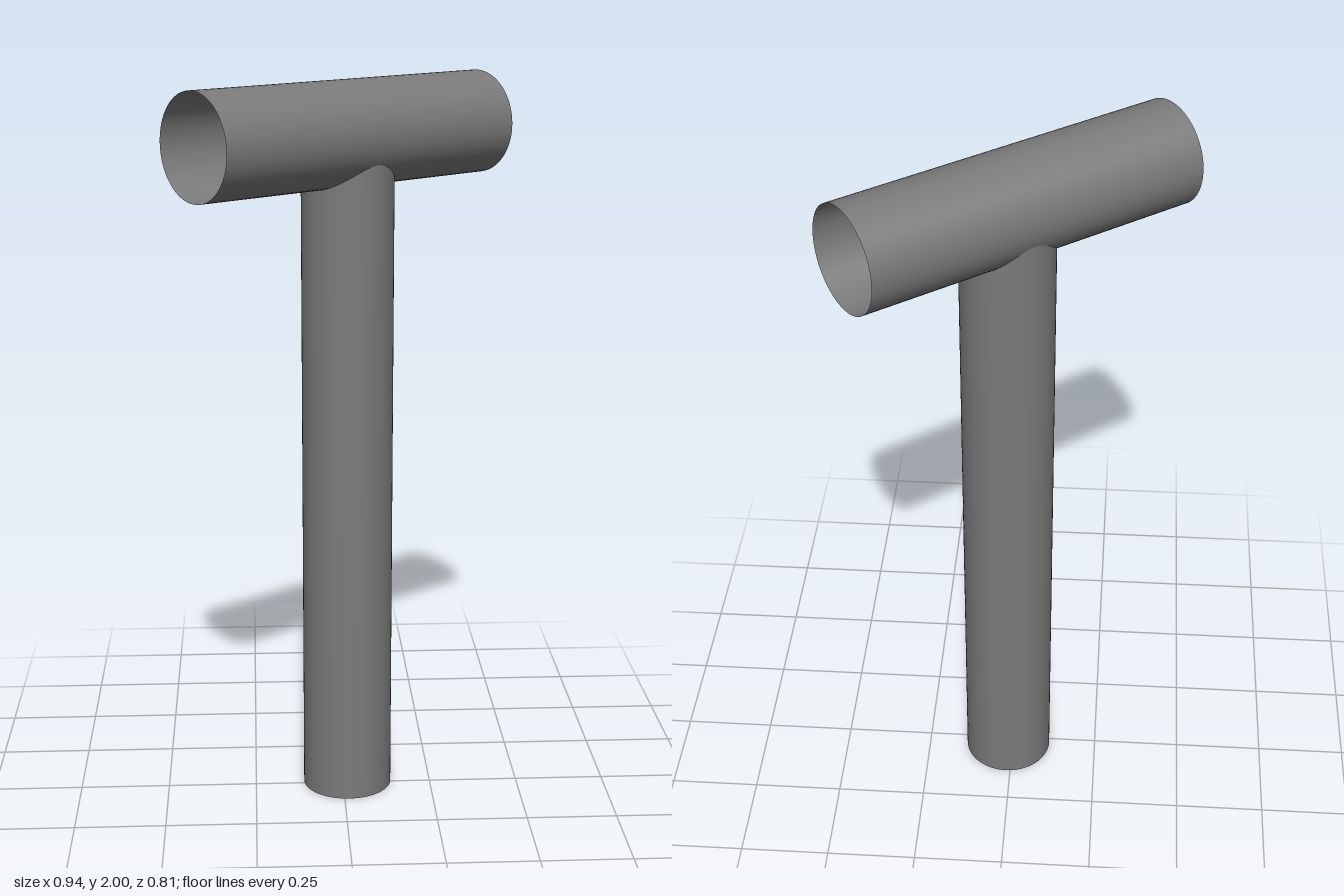
import * as THREE from 'three';

const HEAD_RADIUS = 0.14;
const HEAD_LENGTH = 0.973;
const HEAD_ANGLE = 0.655; // turn of the crosspiece about the vertical
const HANDLE_RADIUS = 0.1245;
const HANDLE_TOP = 1.83; // ends inside the crosspiece

export function createModel() {
  const group = new THREE.Group();
  const darkGrey = new THREE.MeshStandardMaterial({ color: 0x7a7a7a, side: THREE.DoubleSide });
  const lightGrey = new THREE.MeshStandardMaterial({ color: 0xcccccc });

  // Crosspiece: thin hollow tube, open at both ends
  const headGeometry = new THREE.CylinderGeometry(HEAD_RADIUS, HEAD_RADIUS, HEAD_LENGTH, 64, 1, true);
  headGeometry.rotateZ(Math.PI / 2);
  const head = new THREE.Mesh(headGeometry, darkGrey);
  head.name = 'headTube';
  head.rotation.y = HEAD_ANGLE;
  head.position.y = 2 - HEAD_RADIUS;
  group.add(head);

  // Handle: upright cylinder, slightly off centre, with a lighter bottom face
  const handle = new THREE.Mesh(
    new THREE.CylinderGeometry(HANDLE_RADIUS, HANDLE_RADIUS, HANDLE_TOP, 64),
    [darkGrey, darkGrey, lightGrey] // side, top, bottom
  );
  handle.name = 'handle';
  handle.position.set(0.013, HANDLE_TOP / 2, -0.0165);
  group.add(handle);

  return group;
}
